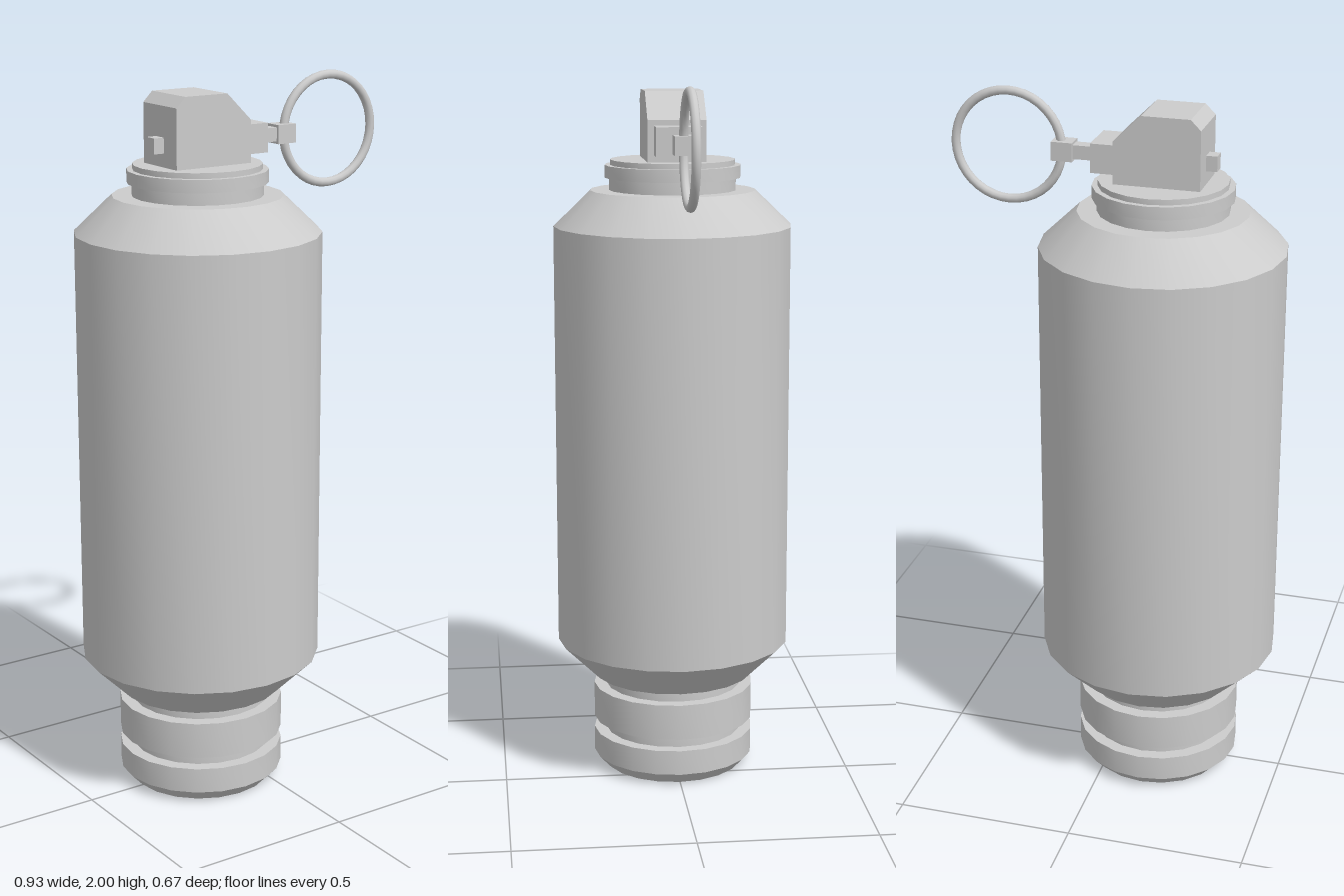
import * as THREE from 'three';
import { toCreasedNormals } from 'three/addons/utils/BufferGeometryUtils.js';

const AXIS_X = -0.13; // centre line of the canister
const PIN_Y = 1.838; // height of the pull pin

export function createModel() {
  const group = new THREE.Group();
  const material = new THREE.MeshStandardMaterial({ color: 0xcccccc });

  const add = (name, geometry, x = 0, y = 0, z = 0) => {
    const mesh = new THREE.Mesh(geometry, material);
    mesh.name = name;
    mesh.position.set(x, y, z);
    group.add(mesh);
    return mesh;
  };

  // Twenty-sided turned part: smooth around, sharp along the profile
  const turned = (name, profile) => {
    const points = profile.map(([r, y]) => new THREE.Vector2(r, y));
    add(name, toCreasedNormals(new THREE.LatheGeometry(points, 20), 0.5), AXIS_X);
  };

  // Box given by its x range, height, depth and centre height
  const block = (name, x0, x1, height, depth, y = PIN_Y) =>
    add(name, new THREE.BoxGeometry(x1 - x0, height, depth), (x0 + x1) / 2, y);

  // Grooved base
  turned('base', [
    [0, 0], [0.2, 0], [0.233, 0.035], [0.233, 0.107], [0.198, 0.107],
    [0.198, 0.142], [0.233, 0.142], [0.233, 0.245], [0.198, 0.245], [0.198, 0.285],
  ]);

  // Main canister with sloped shoulders
  turned('body', [
    [0, 0.28], [0.233, 0.28], [0.337, 0.383], [0.337, 1.595], [0.233, 1.695], [0, 1.695],
  ]);

  // Stepped collar
  turned('neck', [
    [0.179, 1.69], [0.179, 1.73], [0.192, 1.73], [0.192, 1.765],
    [0.176, 1.765], [0.176, 1.78], [0, 1.78],
  ]);

  // Fuse head, a chamfered block
  const headShape = new THREE.Shape([
    [-0.248, 1.775], [-0.012, 1.775], [-0.012, 1.895],
    [-0.088, 1.97], [-0.22, 1.97], [-0.248, 1.942],
  ].map(([x, y]) => new THREE.Vector2(x, y)));
  const depth = 0.163;
  add('fuseHead', new THREE.ExtrudeGeometry(headShape, { depth, bevelEnabled: false }), 0, 0, -depth / 2);

  // Pin boss, pin and its clip
  block('pinBoss', -0.02, 0.055, 0.08, 0.128, 1.84);
  block('pinEnd', -0.278, -0.24, 0.042, 0.038);
  block('pinShaft', 0.05, 0.12, 0.038, 0.036);
  block('ringClip', 0.117, 0.176, 0.052, 0.052);

  // Pull ring
  add('pullRing', new THREE.TorusGeometry(0.15, 0.0125, 10, 40), 0.302, PIN_Y);

  return group;
}
